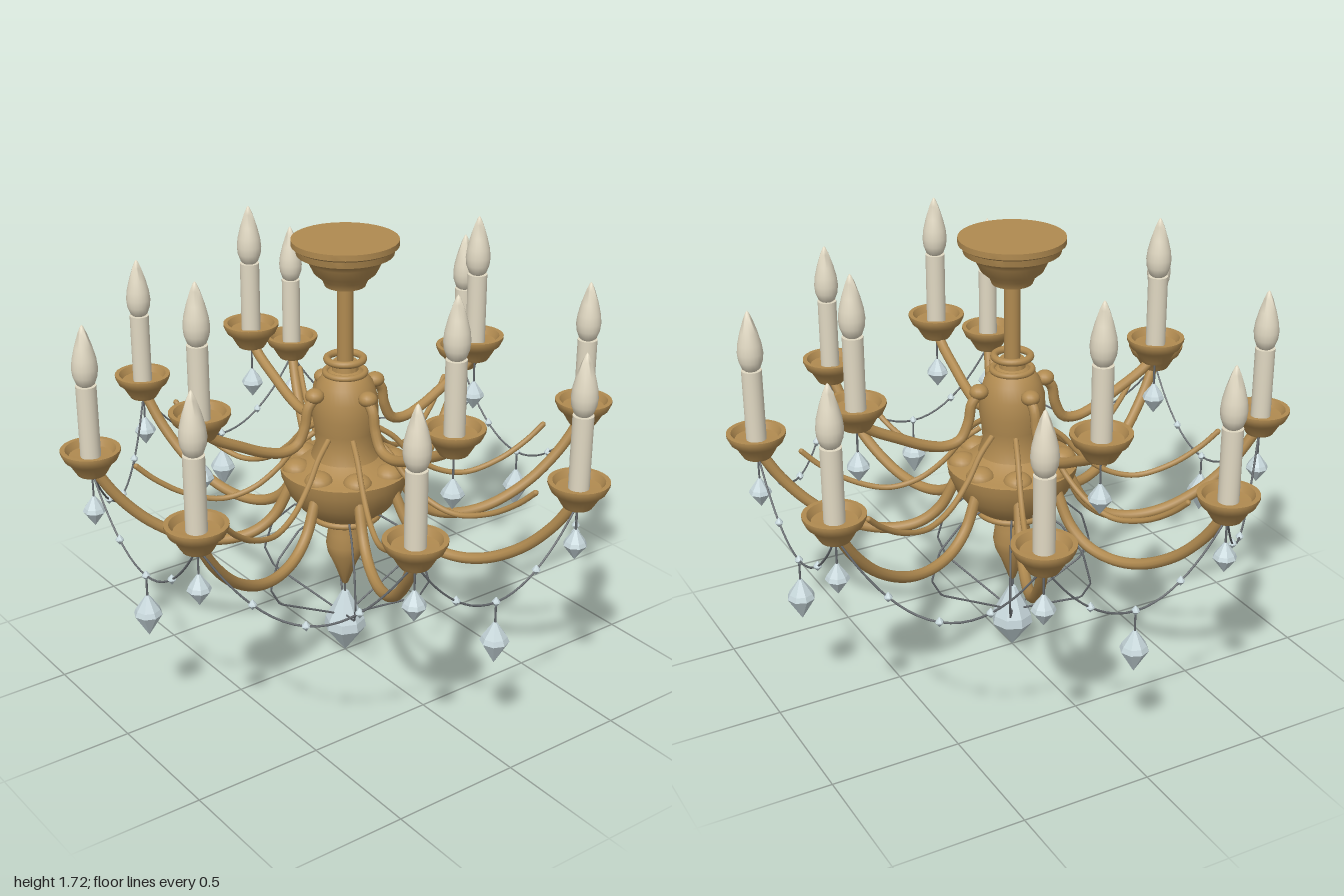
import * as THREE from 'three';
import { toCreasedNormals } from 'three/addons/utils/BufferGeometryUtils.js';

const material = (name, color) => {
  const m = new THREE.MeshStandardMaterial({ color });
  m.name = name;
  return m;
};

export function createModel() {
  const brass = material('brass', 0xb08a50);
  const cream = material('candle cream', 0xe0d8c2);
  const crystal = material('pale crystal', 0xc6d6da);
  const wire = material('dark wire', 0x666a6e);
  const root = new THREE.Group();
  root.name = 'chandelier';

  const add = (parent, name, geometry, mat, x = 0, y = 0, z = 0) => {
    const mesh = new THREE.Mesh(geometry, mat);
    mesh.name = name;
    mesh.position.set(x, y, z);
    parent.add(mesh);
    return mesh;
  };
  // Profiles run from bottom to top
  const lathe = (points, sides = 32, crease = 0.6) => toCreasedNormals(
    new THREE.LatheGeometry(points.map(([r, y]) => new THREE.Vector2(r, y)), sides), crease);
  // Tube lying in the vertical plane of an arm, through (radius, height) points
  const armTube = (points, radius, segments = 40, sides = 10) => new THREE.TubeGeometry(
    new THREE.CatmullRomCurve3(points.map(([r, y]) => new THREE.Vector3(r, y, 0))), segments, radius, sides);
  // Groups turned evenly about the centre
  const around = (count, offset, name, build) => {
    for (let i = 0; i < count; i++) {
      const g = new THREE.Group();
      g.name = name;
      g.rotation.y = offset + (i * Math.PI * 2) / count;
      root.add(g);
      build(g, i);
    }
  };
  // Faceted drop: height above and below its belt
  const gem = (r, up, down) => lathe([[0, -down], [r, 0], [r * 0.85, up * 0.25], [r * 0.12, up], [0, up]], 8, 0.1);
  const wireLine = (parent, x, y0, y1) => add(parent, 'hanging wire',
    new THREE.CylinderGeometry(0.004, 0.004, y1 - y0, 6), wire, x, (y0 + y1) / 2, 0);

  // Ceiling canopy and stem
  add(root, 'canopy', lathe([[0, 1.545], [0.075, 1.545], [0.085, 1.57], [0.115, 1.595], [0.135, 1.635],
    [0.145, 1.65], [0.178, 1.665], [0.184, 1.69], [0.197, 1.698], [0.197, 1.72], [0, 1.72]], 40), brass);
  add(root, 'stem', new THREE.CylinderGeometry(0.03, 0.03, 0.4, 20), brass, 0, 1.38, 0);

  // Vase body, bowl and finial
  add(root, 'body', lathe([[0, 0.3], [0.012, 0.31], [0.045, 0.4], [0.068, 0.45], [0.075, 0.49], [0.068, 0.54],
    [0.062, 0.6], [0.125, 0.61], [0.13, 0.63], [0.18, 0.67], [0.22, 0.725], [0.245, 0.79], [0.25, 0.825],
    [0.235, 0.83], [0.18, 0.835], [0.13, 0.87], [0.112, 0.92], [0.117, 0.98], [0.126, 1.04], [0.122, 1.11],
    [0.105, 1.165], [0.08, 1.2], [0.05, 1.215], [0.045, 1.25], [0, 1.25]], 40), brass);
  const rings = [['collar ring', 0.068, 0.014, 1.257], ['shoulder ring', 0.075, 0.012, 1.205], ['bowl ring', 0.13, 0.014, 0.622]];
  for (const [name, r, t, y] of rings) {
    add(root, name, new THREE.TorusGeometry(r, t, 10, 36), brass, 0, y, 0).rotation.x = Math.PI / 2;
  }

  // Candle cup, candle and bulb
  const cupGeo = lathe([[0, 0], [0.052, 0], [0.06, 0.012], [0.082, 0.05], [0.098, 0.062], [0.111, 0.09],
    [0.111, 0.1], [0.094, 0.1], [0.08, 0.075], [0, 0.07]], 28);
  const candleGeo = new THREE.CylinderGeometry(0.038, 0.038, 0.28, 20);
  const flameGeo = lathe([[0.022, 0], [0.034, 0.01], [0.045, 0.04], [0.048, 0.07], [0.044, 0.105],
    [0.033, 0.15], [0.017, 0.2], [0.006, 0.226], [0, 0.233]], 20, 1.2);
  const smallGem = gem(0.044, 0.06, 0.06);
  const candleHolder = (parent, r, y) => {
    add(parent, 'candle cup', cupGeo, brass, r, y, 0);
    add(parent, 'candle', candleGeo, cream, r, y + 0.21, 0);
    add(parent, 'flame bulb', flameGeo, cream, r, y + 0.348, 0);
  };

  // Eight lower arms with thin scrolls above them
  const R = 0.958;
  const knobGeo = new THREE.SphereGeometry(0.055, 18, 12);
  const lowerArm = armTube([[0.19, 0.82], [0.225, 0.74], [0.28, 0.64], [0.36, 0.58], [0.47, 0.56],
    [0.6, 0.585], [0.75, 0.67], [0.87, 0.79], [0.95, 0.91]], 0.021, 48);
  const scroll = armTube([[0.12, 0.97], [0.19, 0.92], [0.26, 0.84], [0.36, 0.765], [0.48, 0.735],
    [0.62, 0.775], [0.73, 0.845], [0.795, 0.905]], 0.011, 40, 8);
  around(8, Math.PI / 8, 'lower arm group', (g) => {
    add(g, 'lower arm', lowerArm, brass);
    add(g, 'arm knob', knobGeo, brass, 0.19, 0.825, 0).scale.y = 0.75;
    add(g, 'scroll', scroll, brass);
    add(g, 'scroll tip', new THREE.SphereGeometry(0.011, 8, 6), brass, 0.795, 0.905, 0);
    candleHolder(g, R, 0.895);
    wireLine(g, R, 0.79, 0.9);
    add(g, 'small drop', smallGem, crystal, R, 0.742, 0);
  });

  // Four upper arms
  const upperArm = armTube([[0.13, 1.14], [0.17, 1.1], [0.185, 1.03], [0.22, 0.965], [0.28, 0.95],
    [0.37, 0.975], [0.47, 1.025], [0.58, 1.085], [0.63, 1.13]], 0.02);
  around(4, 0, 'upper arm group', (g) => {
    add(g, 'upper arm', upperArm, brass);
    add(g, 'arm knob', new THREE.SphereGeometry(0.036, 16, 12), brass, 0.14, 1.14, 0).scale.y = 0.8;
    candleHolder(g, 0.635, 1.108);
    wireLine(g, 0.635, 1.0, 1.11);
    add(g, 'small drop', smallGem, crystal, 0.635, 0.95, 0);
  });

  // Beaded swags between the lower cups; every other one carries a large drop
  const mid = R * Math.cos(Math.PI / 8), half = R * Math.sin(Math.PI / 8);
  const swagPoint = (t) => new THREE.Vector3(mid, 0.63 + 0.27 * t * t, half * t);
  const swagGeo = new THREE.TubeGeometry(new THREE.CatmullRomCurve3(
    [-1, -0.75, -0.5, -0.25, 0, 0.25, 0.5, 0.75, 1].map(swagPoint)), 24, 0.004, 6);
  const beadGeo = gem(0.016, 0.02, 0.02);
  around(8, 0, 'swag group', (g, i) => {
    add(g, 'swag wire', swagGeo, wire);
    for (const t of [-0.5, 0, 0.5]) add(g, 'bead', beadGeo, crystal, ...swagPoint(t).toArray());
    if (i % 2 === 0) {
      wireLine(g, mid, 0.54, 0.63);
      add(g, 'large drop', gem(0.053, 0.075, 0.09), crystal, mid, 0.475, 0);
    }
  });

  // Wire cage holding the bottom crystal
  const cage = new THREE.CurvePath();
  const cagePoints = [[0.13, 0.64], [0.22, 0.605], [0.315, 0.51], [0.352, 0.39], [0.312, 0.315], [0.03, 0.175]]
    .map(([r, y]) => new THREE.Vector3(r, y, 0));
  for (let i = 1; i < cagePoints.length; i++) cage.add(new THREE.LineCurve3(cagePoints[i - 1], cagePoints[i]));
  const cageGeo = new THREE.TubeGeometry(cage, 40, 0.004, 6);
  around(6, 0, 'cage group', (g) => add(g, 'cage wire', cageGeo, wire));
  wireLine(root, 0, 0.26, 0.32);
  add(root, 'bottom crystal', lathe([[0, 0], [0.084, 0.115], [0.078, 0.15], [0.015, 0.268], [0, 0.27]], 8, 0.1), crystal);

  return root;
}
